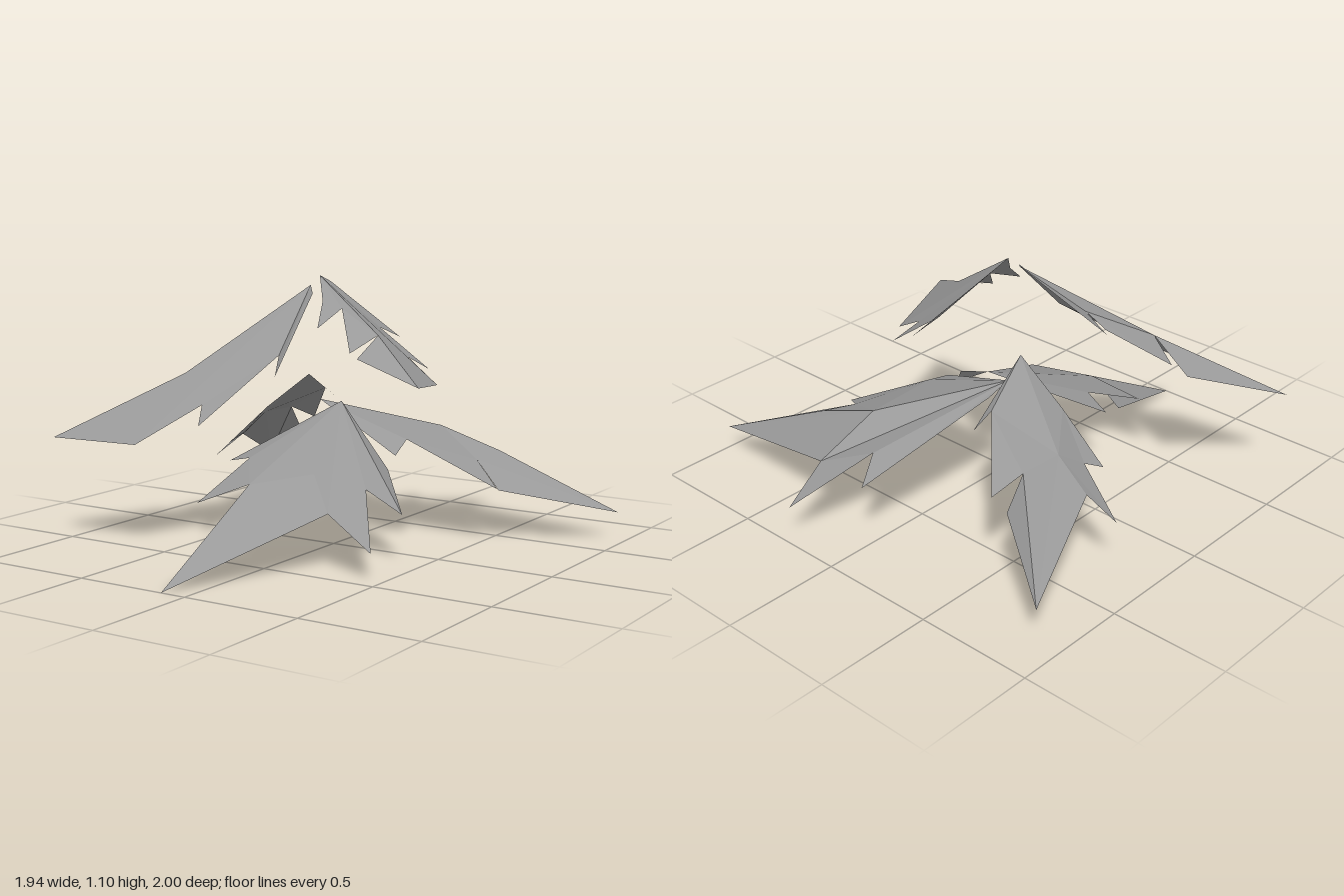
import * as THREE from 'three';

const material = new THREE.MeshStandardMaterial({
  color: 0x999999, flatShading: true, side: THREE.DoubleSide,
});

// One leaf blade: flat folded panels, each given by its corner points [x, y, z]
function leaf(name, panels) {
  const positions = [];
  for (const panel of panels) {
    const points = panel.map((p) => new THREE.Vector3(...p));
    const outline = points.map((p) => new THREE.Vector2(p.x, -p.z));
    if (THREE.ShapeUtils.isClockWise(outline)) {
      points.reverse();
      outline.reverse();
    }
    for (const face of THREE.ShapeUtils.triangulateShape(outline, [])) {
      for (const i of face) positions.push(...points[i].toArray());
    }
  }
  const geometry = new THREE.BufferGeometry();
  geometry.setAttribute('position', new THREE.Float32BufferAttribute(positions, 3));
  geometry.computeVertexNormals();
  const mesh = new THREE.Mesh(geometry, material);
  mesh.name = name;
  return mesh;
}

// Lower leaf pointing forward
function frontLeaf() {
  const base = [-0.09, 0.57, -0.2], rib = [-0.12, 0.31, 0.43], tip = [-0.11, 0, 1];
  const bend = [0.09, 0.35, 0.28], notch = [0.24, 0.23, 0.41];
  return leaf('frontLeaf', [
    [base, bend, notch, tip, rib],
    [base, bend, notch, [0.46, 0.11, 0.45], [0.27, 0.29, 0.18], [0.42, 0.2, 0.15], [0.28, 0.35, 0.03]],
    [base, rib, [-0.31, 0.23, 0.52], [-0.27, 0.37, 0.22], [-0.4, 0.34, 0.18]],
    [rib, tip, [-0.21, 0.15, 0.51]],
  ]);
}

// Upper leaf pointing forward and to the right
function upperRightLeaf() {
  const base = [-0.22, 1.06, -0.16], rib = [-0.55, 0.71, 0.28], tip = [-0.97, 0.45, 0.63];
  return leaf('upperRightLeaf', [
    [base, rib, tip, [-0.57, 0.45, 0.59], [-0.39, 0.6, 0.38], [-0.34, 0.53, 0.47],
      [-0.19, 0.79, 0.12], [-0.12, 0.72, 0.25], [-0.17, 1.03, -0.1]],
    [base, rib, [-0.68, 0.64, 0.23], [-0.48, 0.79, 0.06], [-0.39, 0.85, 0.04], [-0.53, 0.81, 0]],
    [rib, tip, [-0.73, 0.59, 0.27]],
  ]);
}

// Upper leaf pointing to the left
function upperLeftLeaf() {
  const base = [-0.2, 1.1, -0.2], rib = [0.14, 0.87, -0.12], tip = [0.46, 0.7, 0.1];
  return leaf('upperLeftLeaf', [
    [base, rib, tip, [0.33, 0.66, -0.28], [0.16, 0.76, -0.33], [0.2, 0.7, -0.44],
      [-0.03, 0.87, -0.41], [0, 0.82, -0.53], [-0.19, 1.07, -0.27]],
    [base, rib, [0.11, 0.81, 0.05], [-0.05, 0.97, -0.14], [-0.06, 0.9, 0.03], [-0.12, 1, -0.1]],
    [rib, tip, [0.15, 0.79, 0.06]],
  ]);
}

// Lower leaf pointing backward and to the right
function backRightLeaf() {
  const base = [-0.23, 0.68, -0.16], rib = [-0.6, 0.46, -0.36], tip = [-0.92, 0.17, -0.85];
  const notch = [-0.59, 0.46, -0.55], side = [-0.75, 0.35, -0.37];
  return leaf('backRightLeaf', [
    [base, rib, tip, notch, [-0.55, 0.4, -0.68], [-0.33, 0.58, -0.44], [-0.31, 0.52, -0.52]],
    [notch, tip, [-0.59, 0.33, -0.64]],
    [rib, tip, side],
    [base, rib, side, [-0.85, 0.24, -0.31], [-0.63, 0.38, -0.24], [-0.66, 0.34, -0.16], [-0.45, 0.52, -0.16]],
  ]);
}

// Lower leaf pointing backward and to the left
function backLeftLeaf() {
  const base = [-0.2, 0.57, -0.2], bend = [0.19, 0.44, -0.57], rib = [0.46, 0.35, -0.6];
  const tip = [0.97, 0.12, -0.7], notch = [0.43, 0.33, -0.45], side = [0.26, 0.28, -0.8];
  return leaf('backLeftLeaf', [
    [base, bend, side, [0.23, 0.17, -1], [0.04, 0.37, -0.72], [-0.03, 0.3, -0.85], [-0.19, 0.53, -0.3]],
    [bend, rib, tip, side],
    [base, bend, rib, notch, [0.59, 0.24, -0.33], [0.22, 0.43, -0.22], [0.25, 0.385, -0.08]],
    [rib, tip, notch],
    [notch, tip, [0.56, 0.22, -0.4]],
  ]);
}

export function createModel() {
  const group = new THREE.Group();
  group.name = 'leafCluster';
  group.add(frontLeaf(), upperRightLeaf(), upperLeftLeaf(), backRightLeaf(), backLeftLeaf());
  return group;
}
